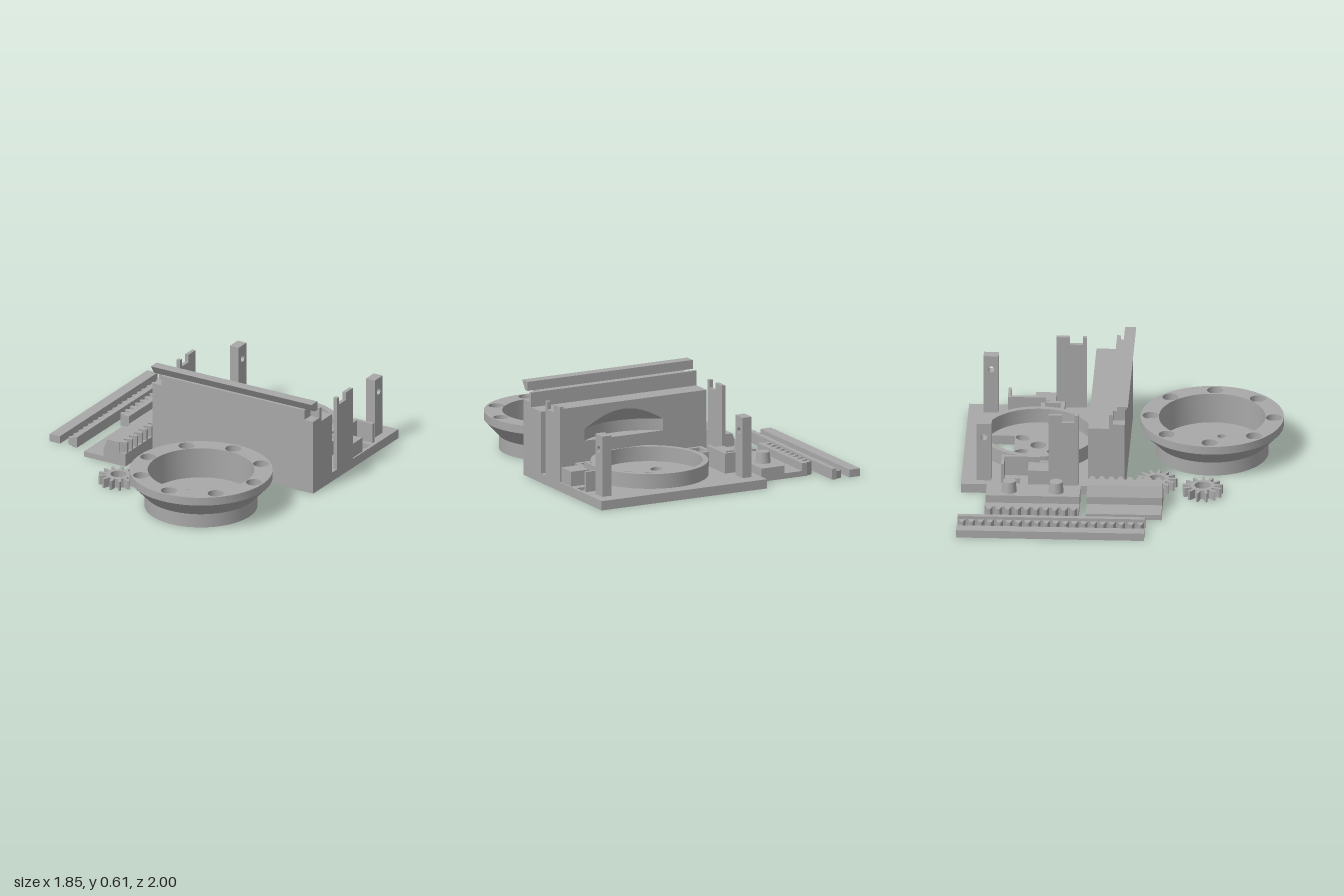
import * as THREE from 'three';
import { toCreasedNormals } from 'three/addons/utils/BufferGeometryUtils.js';

const grey = new THREE.MeshStandardMaterial({ color: 0xa8a8a8, side: THREE.DoubleSide });
grey.name = 'plastic grey';
const CX = 0.33, CZ = -0.54; // centre of the base ring

export function createModel() {
  const model = new THREE.Group();
  const add = (name, geo, parent = model) => {
    const m = new THREE.Mesh(geo, grey);
    m.name = name;
    parent.add(m);
    return m;
  };
  const box = (name, x0, x1, y0, y1, z0, z1, parent) =>
    add(name, new THREE.BoxGeometry(x1 - x0, y1 - y0, z1 - z0)
      .translate((x0 + x1) / 2, (y0 + y1) / 2, (z0 + z1) / 2), parent);
  const vecs = pts => pts.map(([a, b]) => new THREE.Vector2(a, b));
  const rect = (x0, x1, z0, z1) => [[x0, z0], [x1, z0], [x1, z1], [x0, z1]];
  const circle = (x, z, r, n = 32) => Array.from({ length: n }, (_, i) => {
    const a = i / n * Math.PI * 2;
    return [x + r * Math.cos(a), z + r * Math.sin(a)];
  });
  const slab = (pts, depth, holes = []) => {
    const s = new THREE.Shape(vecs(pts));
    s.holes = holes.map(h => new THREE.Path(vecs(h)));
    return new THREE.ExtrudeGeometry(s, { depth, bevelEnabled: false });
  };
  const smooth = g => toCreasedNormals(g, 0.5);
  // plan outline in x, z raised from y0 to y1
  const plan = (name, pts, y0, y1, holes = [], parent) => {
    const flip = p => p.map(([x, z]) => [x, -z]);
    return add(name, smooth(slab(flip(pts), y1 - y0, holes.map(flip))
      .rotateX(-Math.PI / 2).translate(0, y0, 0)), parent);
  };
  // side profile in z, y drawn out from x0 to x1
  const side = (name, pts, x0, x1, holes = [], parent) =>
    add(name, smooth(slab(pts, x1 - x0, holes).rotateY(-Math.PI / 2).translate(x1, 0, 0)), parent);

  // Base plate with centre hole, diagonal slots, window and square holes
  const slots = [45, 135, 225, 315].map(d => {
    const a = d * Math.PI / 180, c = Math.cos(a), s = Math.sin(a);
    return circle(0, 0, 1, 20).map(([u, v]) => {
      const p = 0.145 + u * 0.048, q = v * 0.036;
      return [CX + p * c - q * s, CZ + p * s + q * c];
    });
  });
  plan('basePlate', rect(-0.26, 0.92, -1, 0.03), 0, 0.06, [
    circle(CX, CZ, 0.05), ...slots, rect(0.2, 0.46, -0.84, -0.69),
    rect(-0.24, -0.165, -0.7, -0.63), rect(0.825, 0.9, -0.7, -0.63)]);
  plan('baseRing', circle(CX, CZ, 0.37, 64), 0.06, 0.155, [circle(CX, CZ, 0.335, 64)]);

  // Front wall with slanted lip and notched ends
  const lip = [[0.01, 0.555], [0.05, 0.613], [-0.02, 0.613], [-0.02, 0.555]];
  const rear = [[-0.07, 0.555], [-0.07, 0.46], [-0.095, 0.46], [-0.095, 0.06], [0.03, 0.06]];
  side('frontWall', [...rear, [0.03, 0.555], ...lip], -0.195, 0.855);
  for (const x of [-0.26, 0.855]) {
    side('wallEnd', [...rear, [0.03, 0.49], [-0.045, 0.49], [-0.045, 0.555]], x, x + 0.065);
    side('lipEnd', lip, x, x + 0.065);
  }

  // Rear of the wall, with a flared round pocket
  const P0 = 0.235, P1 = 0.31, P2 = 0.41, R = 0.44, D = 0.34;
  const pocketRow = t => t < 1 ? [D + (R - D) * t, P0]
    : t < 2 ? [R, P0 + (P1 - P0) * (t - 1)]
      : [R - (R - D) * (t - 2), P1 + (P2 - P1) * (t - 2)];
  const half = r => Math.sqrt(Math.max(0, r * r - D * D));
  const opening = [[CX - half(R), P0], [CX + half(R), P0]];
  for (let i = 0; i <= 12; i++) {
    const [r, y] = pocketRow(2 + i / 12);
    opening.push([CX + half(r), y]);
  }
  for (let i = 11; i >= 0; i--) {
    const [r, y] = pocketRow(2 + i / 12);
    opening.push([CX - half(r), y]);
  }
  add('wallRear', slab([[-0.26, 0.06], [0.92, 0.06], [0.92, 0.46], [-0.26, 0.46]], 0.105, [opening])
    .translate(0, 0, -0.2));
  const pocket = new THREE.PlaneGeometry(1, 3, 32, 36);
  const pp = pocket.attributes.position;
  for (let i = 0; i < pp.count; i++) {
    const [r, y] = pocketRow(pp.getY(i) + 1.5);
    const a = pp.getX(i) * 2 * Math.acos(Math.min(1, D / r));
    pp.setXYZ(i, CX + r * Math.sin(a), y, CZ + r * Math.cos(a));
  }
  add('wallPocket', smooth(pocket));

  // Posts and brackets on both sides, mirrored about the ring centre
  for (const s of [-1, 1]) {
    const g = new THREE.Group();
    g.name = s < 0 ? 'rightSupports' : 'leftSupports';
    model.add(g);
    const mx = (name, a, b, ...rest) => {
      const [x0, x1] = [CX + s * a, CX + s * b].sort((p, q) => p - q);
      return box(name, x0, x1, ...rest, g);
    };
    const px = CX + s * 0.5 - 0.0325;
    side('rearPost', rect(-0.905, -0.81, 0.06, 0.45), px, px + 0.065, [circle(-0.857, 0.358, 0.021, 20)], g);
    const nx = CX + s * 0.5775 - 0.0125;
    side('notchedPost', [[-0.45, 0.06], [-0.26, 0.06], [-0.26, 0.545], [-0.285, 0.545], [-0.285, 0.495],
      [-0.365, 0.495], [-0.365, 0.545], [-0.45, 0.545]], nx, nx + 0.025, [], g);
    mx('bracketBack', 0.425, 0.565, 0.06, 0.19, -0.75, -0.73);
    mx('bracketWall', 0.425, 0.45, 0.06, 0.19, -0.75, -0.51);
    mx('bracketLowWall', 0.425, 0.45, 0.06, 0.155, -0.51, -0.39);
    mx('bracketBlock', 0.455, 0.58, 0.06, 0.155, -0.58, -0.45);
    mx('ringLug', 0.345, 0.43, 0.06, 0.155, -0.54, -0.515);
    mx('ringLug', 0.345, 0.43, 0.06, 0.155, -0.415, -0.39);
  }

  // Turntable: floor with screw holes, flared side, flange with eight blind holes
  const table = new THREE.Group();
  table.name = 'turntable';
  table.position.set(0.412, 0, 0.55);
  model.add(table);
  const screws = [22, 112, 202, 292].map(d => {
    const a = d * Math.PI / 180;
    return circle(0.143 * Math.cos(a), 0.143 * Math.sin(a), 0.028, 20);
  });
  plan('floorUnder', circle(0, 0, 0.34, 64), 0, 0.025, [circle(0, 0, 0.07, 4), ...screws], table);
  plan('floorTop', circle(0, 0, 0.34, 64), 0.025, 0.045, [circle(0, 0, 0.04), ...screws], table);
  add('flaredSide', smooth(new THREE.LatheGeometry(vecs([[0.335, 0], [0.355, 0], [0.355, 0.09],
    [0.45, 0.19], [0.45, 0.2], [0.335, 0.2], [0.335, 0.045]]), 64)), table);
  const dimples = Array.from({ length: 8 }, (_, i) =>
    circle(0.388 * Math.cos(i * Math.PI / 4), 0.388 * Math.sin(i * Math.PI / 4), 0.05, 24));
  plan('flange', circle(0, 0, 0.45, 64), 0.2, 0.243, [circle(0, 0, 0.335, 64), ...dimples], table);

  // Pinion gears with rounded teeth
  const gear = (x, z, turn) => {
    const n = 13, pts = [];
    for (let i = 0; i < n; i++)
      for (const [t, r] of [[-0.27, 0.078], [-0.2, 0.1], [-0.15, 0.121], [0, 0.129], [0.15, 0.121], [0.2, 0.1], [0.27, 0.078]]) {
        const a = (i + t) / n * Math.PI * 2 + turn;
        pts.push([x + r * Math.cos(a), z + r * Math.sin(a)]);
      }
    plan('gear', pts, 0, 0.06, [circle(x, z, 0.051)]);
  };
  gear(-0.123, 0.225, 0.1);
  gear(-0.214, 0.517, 0);

  // Row of teeth along z, from root to tip in x
  const teeth = (root, tip, back, z0, z1, y0, y1) => {
    const n = Math.round((z1 - z0) / 0.059), p = (z1 - z0) / n, d = tip - root;
    const pts = [[back, z0], [root, z0]];
    for (let i = 0; i < n; i++)
      for (const [t, f] of [[0.12, 0], [0.28, 0.7], [0.38, 1], [0.62, 1], [0.72, 0.7], [0.88, 0]])
        pts.push([root + d * f, z0 + (i + t) * p]);
    pts.push([root, z1], [back, z1]);
    plan('rackTeeth', pts, y0, y1);
  };

  // Guide bar and long rack
  box('guideBar', -0.925, -0.85, 0, 0.05, -1, 0.18);
  teeth(-0.757, -0.8, -0.74, -1, 0.18, 0, 0.05);
  box('longRackSpine', -0.757, -0.725, 0, 0.07, -1, 0.18);

  // Slider plate with toothed edge and two tapered pegs
  box('sliderPlate', -0.61, -0.31, 0, 0.035, -0.835, -0.245);
  teeth(-0.635, -0.678, -0.6, -0.835, -0.245, 0, 0.085);
  box('sliderStep', -0.475, -0.31, 0.035, 0.085, -0.835, -0.245);
  for (const z of [-0.69, -0.395])
    add('sliderPeg', new THREE.CylinderGeometry(0.04, 0.048, 0.07, 32).translate(-0.4, 0.12, z));

  // Carrier with sloped rack block
  add('carrier', slab([[-0.615, 0], [-0.31, 0], [-0.31, 0.085], [-0.355, 0.085], [-0.355, 0.155],
    [-0.445, 0.155], [-0.47, 0.085], [-0.47, 0.035], [-0.615, 0.035]], 0.475).translate(0, 0, -0.2));
  teeth(-0.355, -0.312, -0.37, -0.2, 0.275, 0.085, 0.155);
  return model;
}
